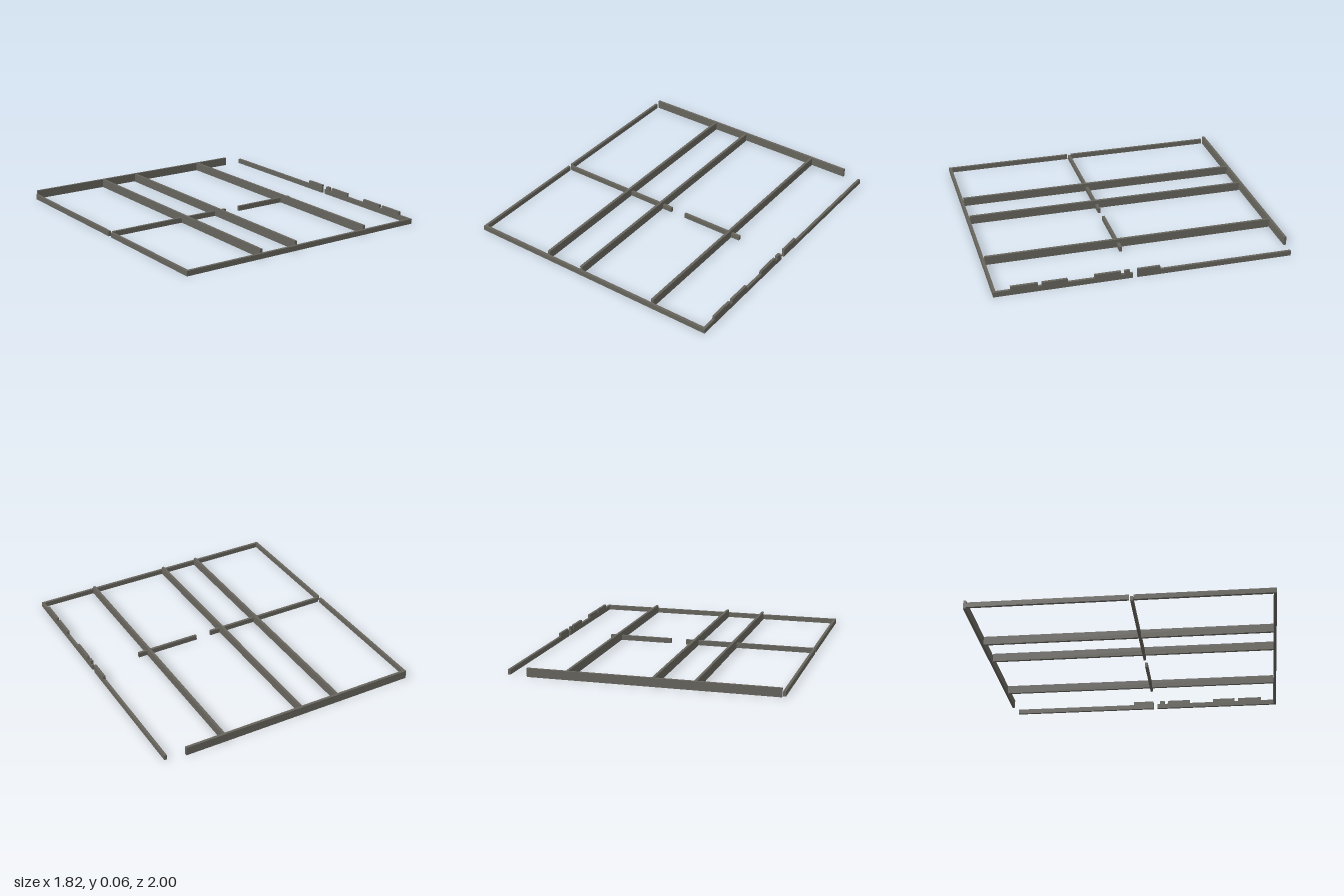
import * as THREE from 'three';

const LOW = 0.034, HIGH = 0.058;

export function createModel() {
  const group = new THREE.Group();
  const material = new THREE.MeshStandardMaterial({ color: 0x66645c });

  // Box given by its limits on each axis
  const wall = (name, x0, x1, z0, z1, top = LOW, bottom = 0) => {
    const mesh = new THREE.Mesh(new THREE.BoxGeometry(x1 - x0, top - bottom, z1 - z0), material);
    mesh.position.set((x0 + x1) / 2, (bottom + top) / 2, (z0 + z1) / 2);
    mesh.name = name;
    group.add(mesh);
  };

  // Front and back walls
  wall('frontWall', -0.91, 0.91, 0.981, 1);
  wall('backWall', -0.89, 0.77, -1, -0.982, HIGH);

  // Low side walls, each split by a narrow gap
  for (const [name, x0, x1] of [['rightWall', -0.91, -0.892], ['leftWall', 0.892, 0.91]]) {
    wall(name + 'Back', x0, x1, -0.975, 0.07);
    wall(name + 'Front', x0, x1, 0.1, 0.981);
  }

  // Raised blocks along the left wall
  for (const [z0, z1] of [[-0.08, 0.07], [0.12, 0.155], [0.18, 0.35], [0.525, 0.69], [0.715, 0.89]]) {
    wall('raisedBlock', 0.892, 0.91, z0, z1, HIGH, LOW);
  }

  // Tall beams running front to back
  for (const [x, back] of [[-0.346, -0.982], [-0.071, -0.976], [0.499, -0.982]]) {
    wall('longBeam', x - 0.009, x + 0.009, back, 0.981, HIGH);
  }

  // Low cross walls with an opening between them
  wall('crossWallRight', -0.89, 0.012, 0.077, 0.095);
  wall('crossWallLeft', 0.122, 0.57, 0.077, 0.095);

  return group;
}
